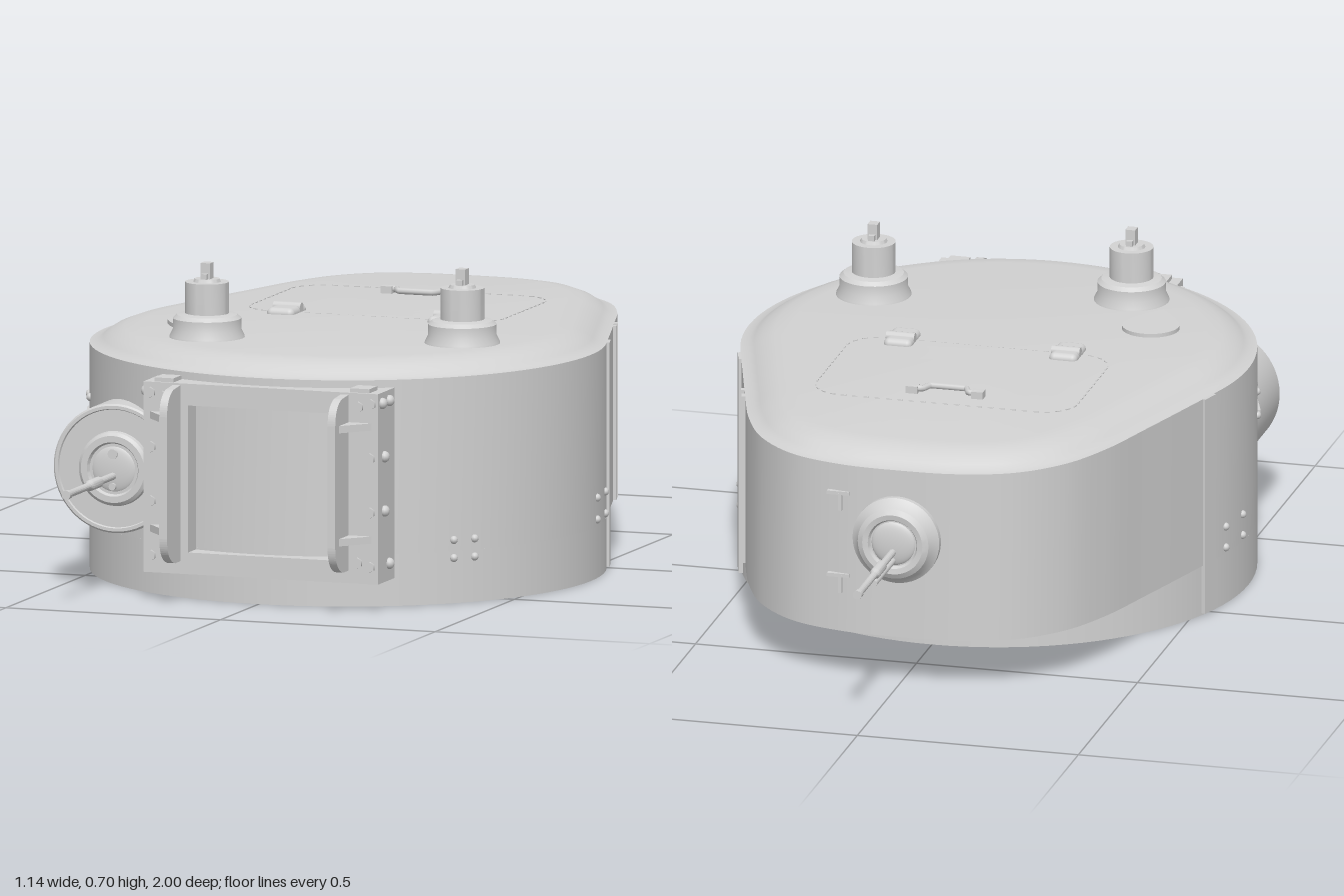
import * as THREE from 'three';
import { toCreasedNormals } from 'three/addons/utils/BufferGeometryUtils.js';
import { RoundedBoxGeometry } from 'three/addons/geometries/RoundedBoxGeometry.js';

const R = 0.565, ZC = 0.195; // base ring radius and centre
const LINE_ANGLE = 1.875;    // where the round front meets the straight flanks

// Pear-shaped plan, counter-clockwise from the front
function outline() {
  const half = [];
  for (let i = 0; i <= 30; i++) {
    const a = (LINE_ANGLE * i) / 30;
    half.push(new THREE.Vector2(R * Math.sin(a), ZC + R * Math.cos(a)));
  }
  const rear = new THREE.CatmullRomCurve3([
    [0.539, 0.026], [0.455, -0.25], [0.403, -0.41], [0.342, -0.527], [0.25, -0.613],
    [0.13, -0.654], [0, -0.662], [-0.13, -0.654],
  ].map(([x, z]) => new THREE.Vector3(x, 0, z)));
  for (let i = 1; i <= 70; i++) {
    const p = rear.getPoint(i / 70);
    if (p.x < 0.008) break;
    half.push(new THREE.Vector2(p.x, p.z));
  }
  half.push(new THREE.Vector2(0, -0.662));
  const mirrored = half.slice(1, -1).reverse().map((p) => new THREE.Vector2(-p.x, p.y));
  return half.concat(mirrored);
}

// Closed loft of the plan through [inset, height] rings, capped at both ends
function loft(plan, rings) {
  const n = plan.length, pos = [];
  const loops = rings.map(([inset, y]) => plan.map((p, i) => {
    const t = plan[(i + 1) % n].clone().sub(plan[(i + n - 1) % n]).normalize();
    return [p.x + t.y * inset, y, p.y - t.x * inset];
  }));
  const last = loops.length - 1;
  const low = [0, rings[0][1], 0.05], high = [0, rings[last][1] + 0.002, 0.05];
  for (let i = 0; i < n; i++) {
    const j = (i + 1) % n;
    pos.push(...low, ...loops[0][j], ...loops[0][i], ...high, ...loops[last][i], ...loops[last][j]);
    for (let k = 0; k < last; k++) {
      const a = loops[k][i], b = loops[k][j], c = loops[k + 1][j], d = loops[k + 1][i];
      pos.push(...a, ...b, ...c, ...a, ...c, ...d);
    }
  }
  const g = new THREE.BufferGeometry();
  g.setAttribute('position', new THREE.Float32BufferAttribute(pos, 3));
  return toCreasedNormals(g, 0.5);
}

export function createModel() {
  const root = new THREE.Group();
  root.name = 'turret';
  const steel = new THREE.MeshStandardMaterial({ color: 0xd2d2d2 });
  steel.name = 'light grey';

  const add = (name, geo, x = 0, y = 0, z = 0, parent = root) => {
    const m = new THREE.Mesh(geo, steel);
    m.name = name;
    m.position.set(x, y, z);
    parent.add(m);
    return m;
  };
  const box = (name, w, h, d, x, y, z, parent) => add(name, new THREE.BoxGeometry(w, h, d), x, y, z, parent);
  const lathe = (pts, seg = 40) => toCreasedNormals(
    new THREE.LatheGeometry(pts.map(([r, y]) => new THREE.Vector2(r, y)), seg), 0.5);
  const extrude = (shape, depth) => new THREE.ExtrudeGeometry(shape, { depth, bevelEnabled: false, curveSegments: 16 });

  // Hull: wall, rounded roof edge, and the turret ring under it
  add('hull', loft(outline(), [[0, 0.115], [0, 0.5], [0.018, 0.503], [0.03, 0.512], [0.048, 0.524],
    [0.075, 0.534], [0.11, 0.538]]));
  add('turretRing', new THREE.CylinderGeometry(R, R, 0.115, 96), 0, 0.0575, ZC);

  // Vertical seam strips on the flanks
  const strip = (x, z, w, h, s) => {
    box('seamStrip', 0.016, h, w, s * x, 0.5 - h / 2, z).rotation.y = s * 0.304;
  };
  for (const s of [1, -1]) strip(0.527, -0.008, 0.045, 0.495, s);
  strip(0.463, -0.222, 0.012, 0.385, 1);
  strip(0.452, -0.26, 0.02, 0.385, 1);

  // Dome rivets set on the round wall, by angle from the front
  const dome = new THREE.SphereGeometry(0.009, 10, 8);
  const rivet = (a, y) => add('wallRivet', dome, R * Math.sin(a), y, ZC + R * Math.cos(a));
  for (const a of [0.775, 0.865]) for (const y of [0.1, 0.14]) rivet(a, y);
  for (const s of [1, -1]) for (const a of [1.65, 1.81]) for (const y of [0.13, 0.178]) rivet(s * a, y);
  for (const a of [-1.12, -1.2, -1.31]) rivet(a, 0.342);
  for (const a of [-1.15, -1.24]) rivet(a, 0.383);
  box('wallPin', 0.01, 0.014, 0.1, -0.528, 0.342, 0.4).rotation.y = -1.22 + Math.PI / 2;

  // Front gun frame
  const frame = new THREE.Group();
  frame.name = 'gunFrame';
  root.add(frame);
  const face = new THREE.Shape([[-0.258, 0.062], [0.288, 0.062], [0.288, 0.483], [-0.258, 0.483]]
    .map((p) => new THREE.Vector2(...p)));
  face.holes.push(new THREE.Path([[-0.154, 0.11], [-0.154, 0.435], [0.188, 0.435], [0.188, 0.11]]
    .map((p) => new THREE.Vector2(...p))));
  add('framePlate', extrude(face, 0.165), 0, 0, 0.622, frame);

  // Rounded side fins: profile drawn in (forward, up)
  const fin = new THREE.Shape();
  fin.moveTo(0.75, 0.09);
  fin.lineTo(0.82, 0.09);
  fin.quadraticCurveTo(0.87, 0.1, 0.872, 0.15);
  fin.lineTo(0.872, 0.42);
  fin.quadraticCurveTo(0.87, 0.465, 0.83, 0.475);
  fin.lineTo(0.75, 0.482);
  const gusset = new THREE.Shape([[0, 0], [0.06, 0], [0, 0.07]].map((p) => new THREE.Vector2(...p)));
  const bolt = new THREE.CylinderGeometry(0.012, 0.012, 0.014, 6);
  for (const s of [1, -1]) {
    const at = (d) => 0.015 + s * d; // frame is centred slightly to the left
    add('frameFin', extrude(fin, 0.018), at(0.187) + (s > 0 ? 0.018 : 0), 0, 0, frame).rotation.y = -Math.PI / 2;
    for (const y of [0.16, 0.41]) {
      const g = extrude(gusset, 0.016);
      g.rotateX(Math.PI / 2);
      if (s < 0) g.rotateZ(Math.PI);
      add('finGusset', g, at(0.2), y + s * 0.008, 0.785, frame);
    }
    box('topTab', 0.045, 0.012, 0.05, at(0.228), 0.486, 0.755, frame);
    for (const [d, y] of [[0.257, 0.46], [0.228, 0.453], [0.255, 0.34], [0.255, 0.22], [0.255, 0.1], [0.226, 0.108]]) {
      add('frameBolt', bolt, at(d), y, 0.787, frame).rotation.x = Math.PI / 2;
    }
    for (const [z, y] of [[0.765, 0.46], [0.72, 0.46], [0.75, 0.34], [0.75, 0.22], [0.72, 0.1]]) {
      add('sideBolt', dome, at(0.275), y, z, frame).scale.set(1.3, 1.4, 1.4);
    }
  }

  // Machine gun with stepped barrel, pointing up its own y axis
  const gun = (length) => lathe([[0, 0], [0.008, 0], [0.008, 0.09], [0.012, 0.095], [0.012, 0.15], [0.008, 0.16],
    [0.008, length - 0.02], [0.01, length - 0.016], [0.01, length], [0, length]], 16);

  // Front sponson with ball mount
  const sponson = new THREE.Group();
  sponson.name = 'frontBallMount';
  sponson.position.set(-0.36, 0.271, 0);
  sponson.rotation.x = Math.PI / 2;
  root.add(sponson);
  add('sponson', lathe([[0, 0.3], [0.143, 0.3], [0.143, 0.69], [0.139, 0.694], [0.132, 0.694], [0.13, 0.69],
    [0.083, 0.69], [0.081, 0.7], [0.074, 0.706], [0.06, 0.706], [0.056, 0.698], [0, 0.698]], 64), 0, 0, 0, sponson);
  add('ball', new THREE.SphereGeometry(0.052, 32, 20), 0, 0.695, 0, sponson).scale.y = 0.2;
  add('sight', new THREE.CylinderGeometry(0.011, 0.011, 0.016, 16), 0, 0.7, -0.034, sponson);
  add('frontGun', gun(0.3), 0, 0.7, 0.015, sponson);
  add('gunPin', new THREE.CylinderGeometry(0.008, 0.008, 0.02, 12), 0, 0.7, 0.038, sponson);

  // Rear ball mount
  const rear = new THREE.Group();
  rear.name = 'rearBallMount';
  rear.position.set(0, 0.342, 0);
  rear.rotation.x = -Math.PI / 2;
  root.add(rear);
  add('mountRing', lathe([[0, 0.62], [0.098, 0.62], [0.098, 0.674], [0.088, 0.682], [0.08, 0.698], [0.068, 0.705],
    [0.056, 0.703], [0.052, 0.695], [0, 0.695]], 48), 0, 0, 0, rear);
  add('ball', new THREE.SphereGeometry(0.05, 32, 20), 0, 0.693, 0, rear).scale.y = 0.24;
  add('rearGun', gun(0.3), 0, 0.7, -0.018, rear);
  add('gunSight', new THREE.CylinderGeometry(0.007, 0.007, 0.16, 12), 0, 0.78, -0.038, rear);
  for (const y of [0.245, 0.435]) {
    box('rearBracket', 0.05, 0.008, 0.012, 0.135, y, -0.655);
    box('rearBracket', 0.008, 0.04, 0.012, 0.13, y - 0.02, -0.656);
  }

  // Roof periscopes
  for (const [x, z] of [[-0.227, 0.47], [0.327, 0.36]]) {
    const p = new THREE.Group();
    p.name = 'periscope';
    p.position.set(x, 0, z);
    root.add(p);
    add('body', lathe([[0.084, 0.53], [0.082, 0.542], [0.075, 0.556], [0.075, 0.58], [0.066, 0.588], [0.048, 0.591],
      [0.048, 0.66], [0.03, 0.66], [0.027, 0.667], [0, 0.667]]), 0, 0, 0, p);
    box('head', 0.022, 0.036, 0.024, 0, 0.684, 0, p);
    box('headCap', 0.014, 0.014, 0.044, 0, 0.672, 0, p);
  }

  // Teardrop cover
  const drop = new THREE.Shape();
  drop.absarc(0, 0, 0.063, -0.3, Math.PI + 0.3, false);
  drop.quadraticCurveTo(-0.045, -0.06, 0, -0.108);
  drop.quadraticCurveTo(0.045, -0.06, 0.06, -0.0186);
  add('teardropCover', extrude(drop, 0.012), -0.318, 0.535, 0.292).rotation.x = -Math.PI / 2;

  // Hatch hinges
  for (const s of [1, -1]) {
    add('hingePlate', new RoundedBoxGeometry(0.064, 0.03, 0.094, 3, 0.013), s * 0.187, 0.538, 0.078);
    const pin = add('hingePin', new THREE.CylinderGeometry(0.011, 0.011, 0.064, 12), s * 0.187, 0.549, 0.068);
    pin.rotation.z = Math.PI / 2;
  }

  // Hatch handle
  const path = new THREE.CatmullRomCurve3([[-0.08, -0.255], [-0.052, -0.255], [-0.04, -0.23], [0.04, -0.23],
    [0.052, -0.255], [0.08, -0.255]].map(([x, z]) => new THREE.Vector3(x, 0.549, z)), false, 'catmullrom', 0.1);
  add('hatchHandle', new THREE.TubeGeometry(path, 40, 0.007, 8));
  for (const s of [1, -1]) box('handleFoot', 0.026, 0.02, 0.022, s * 0.074, 0.545, -0.255);

  // Dashed weld line around the hatch
  const seam = new THREE.Shape();
  seam.absarc(0.22, -0.005, 0.075, -Math.PI / 2, 0, false);
  seam.absarc(0.22, 0.24, 0.075, 0, Math.PI / 2, false);
  seam.absarc(-0.22, 0.24, 0.075, Math.PI / 2, Math.PI, false);
  seam.absarc(-0.22, -0.005, 0.075, Math.PI, Math.PI * 1.5, false);
  seam.closePath();
  const dash = new THREE.BoxGeometry(0.012, 0.004, 0.003);
  for (let i = 0; i < 72; i++) {
    const p = seam.getPointAt(i / 72), t = seam.getTangentAt(i / 72);
    add('hatchSeam', dash, p.x, 0.5385, -p.y).rotation.y = Math.atan2(t.y, t.x);
  }
  return root;
}
